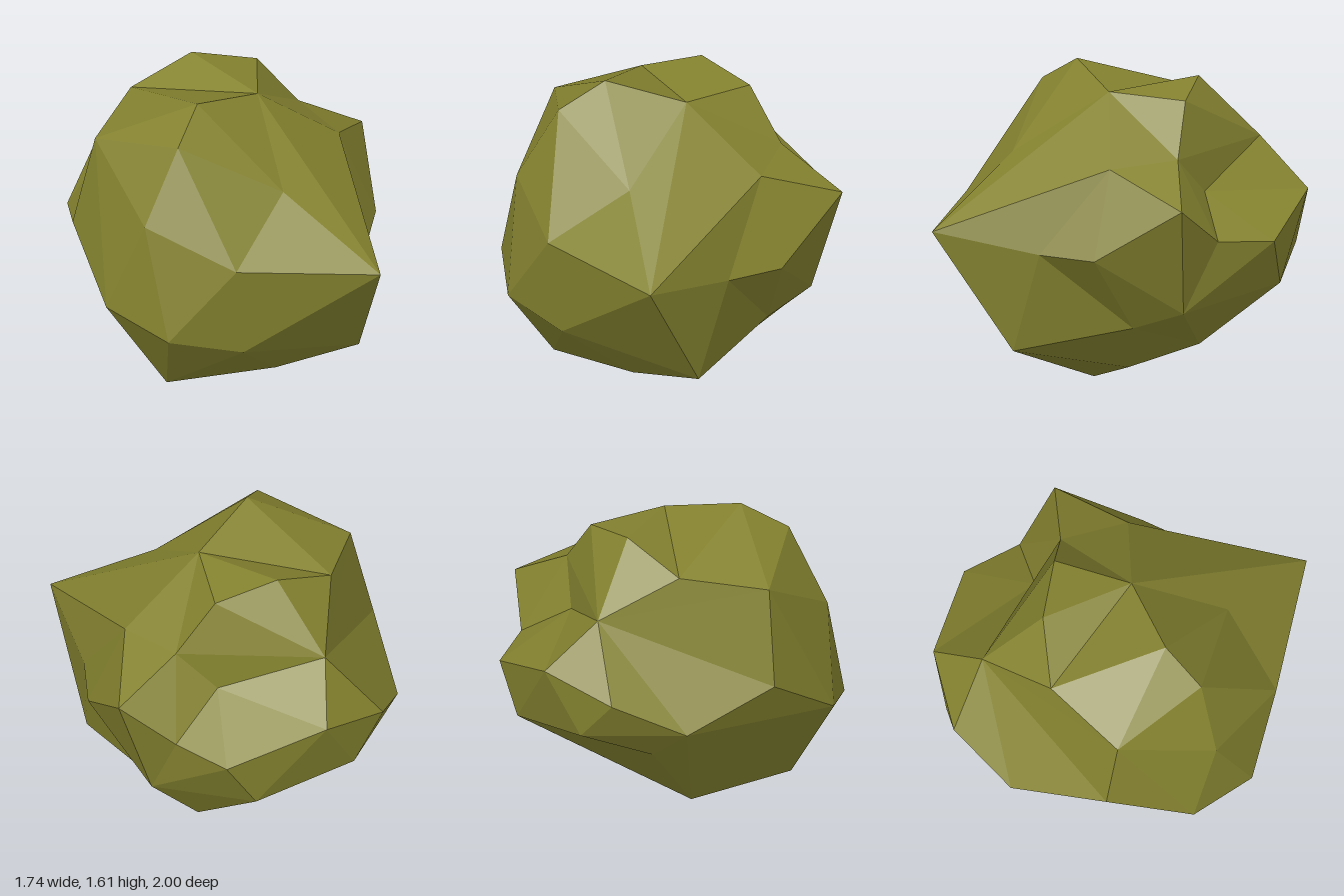
import * as THREE from 'three';
import { ConvexGeometry } from 'three/addons/geometries/ConvexGeometry.js';

// Corner points of the boulder (x, y, z)
const CORNERS = [
  // upper half
  [-0.03, 0.89, -1], [0.36, 0.99, -0.925], [-0.38, 0.72, -0.85], [0.135, 1.235, -0.76],
  [0.735, 0.82, -0.57], [-0.71, 0.88, -0.475], [-0.225, 1.44, -0.55], [0.095, 1.563, -0.44],
  [-0.645, 1.37, -0.38], [0.445, 1.045, -0.315], [0.735, 0.845, -0.26], [0.365, 1.5, -0.245],
  [0.54, 1.24, -0.125], [0.867, 1.045, 0], [-0.335, 1.61, 0.04], [0.08, 1.518, 0.05],
  [0.483, 1.21, 0.225], [0.605, 0.77, 0.367], [0.36, 0.775, 0.56], [0.018, 0.867, 1],
  [-0.155, 1.205, 0.475], [-0.56, 0.925, 0.55], [-0.56, 1.475, 0.13], [-0.775, 1.095, 0.11],
  [-0.875, 0.61, -0.065], [-0.795, 0.515, 0.3],
  // underside
  [-0.49, 0.435, 0.53], [-0.59, 0.13, 0.08], [-0.17, 0, 0.02], [-0.145, 0.175, 0.41],
  [0.217, 0.26, 0.64], [0.255, 0.13, 0.02], [0.525, 0.28, -0.25], [0.697, 0.48, -0.085],
  [0.156, 0.675, -0.95], [-0.16, 0.53, -0.75], [-0.23, 0.125, -0.39], [0.605, 0.575, -0.66],
  [0.5, 0.385, 0.105],
];

// Ridges and valleys that must run between two given corners
const CREASES = [
  // hollow on the crown
  [6, 15], [3, 6], [6, 7], [7, 15], [7, 11], [11, 15], [3, 11], [6, 14], [14, 15],
  // notch on the back of the +x side
  [3, 12], [11, 12], [3, 9], [9, 12], [9, 10], [9, 4], [1, 9], [12, 10], [15, 12], [12, 16],
  // dent under the front +x shoulder
  [16, 18], [16, 17], [18, 38], [17, 38], [17, 33], [30, 38], [30, 18], [33, 38], [31, 38], [32, 38],
  [4, 33], [33, 37], [10, 33],
  // front and back faces
  [20, 21], [20, 22], [20, 19], [14, 20], [21, 23], [21, 25],
  [34, 37], [35, 37], [36, 37], [34, 2], [35, 2], [35, 36], [3, 2], [3, 5], [3, 8],
];

// Wrap the corners in triangles, easing sunken corners outward until all are used
function wrapCorners(corners) {
  const centre = new THREE.Vector3(0, 0.8, 0);
  const proxies = corners.map((p) => p.clone().sub(centre));
  const v = new THREE.Vector3();
  let triangles = [];
  for (let pass = 0; pass < 120; pass++) {
    const pos = new ConvexGeometry(proxies).getAttribute('position');
    const ids = [];
    for (let i = 0; i < pos.count; i++) {
      v.fromBufferAttribute(pos, i);
      let best = 0;
      proxies.forEach((p, k) => {
        if (p.distanceToSquared(v) < proxies[best].distanceToSquared(v)) best = k;
      });
      ids.push(best);
    }
    triangles = [];
    for (let i = 0; i < ids.length; i += 3) triangles.push(ids.slice(i, i + 3));
    const used = new Set(ids);
    if (used.size === proxies.length) break;
    proxies.forEach((p, k) => { if (!used.has(k)) p.multiplyScalar(1.01); });
  }
  return triangles;
}

// Turn the shared edge of two triangles so that it joins corners a and b
function turnEdge(triangles, a, b) {
  if (triangles.some((t) => t.includes(a) && t.includes(b))) return;
  for (const t of triangles) {
    const k = t.indexOf(a);
    if (k < 0) continue;
    const c = t[(k + 1) % 3], d = t[(k + 2) % 3];
    const other = triangles.find((o) => o.includes(b) && o.includes(c) && o.includes(d));
    if (!other) continue;
    t.splice(0, 3, a, c, b);
    other.splice(0, 3, a, b, d);
    return;
  }
}

export function createModel() {
  const corners = CORNERS.map((p) => new THREE.Vector3(...p));
  const triangles = wrapCorners(corners);
  for (let pass = 0; pass < 4; pass++) {
    for (const [a, b] of CREASES) turnEdge(triangles, a, b);
  }

  const geometry = new THREE.BufferGeometry().setFromPoints(
    triangles.flat().map((i) => corners[i]));
  geometry.computeVertexNormals();

  const stone = new THREE.MeshStandardMaterial({ color: 0x84822f, flatShading: true });
  stone.name = 'mossy olive stone';

  const boulder = new THREE.Mesh(geometry, stone);
  boulder.name = 'boulder';

  const group = new THREE.Group();
  group.name = 'rock';
  group.add(boulder);
  return group;
}
